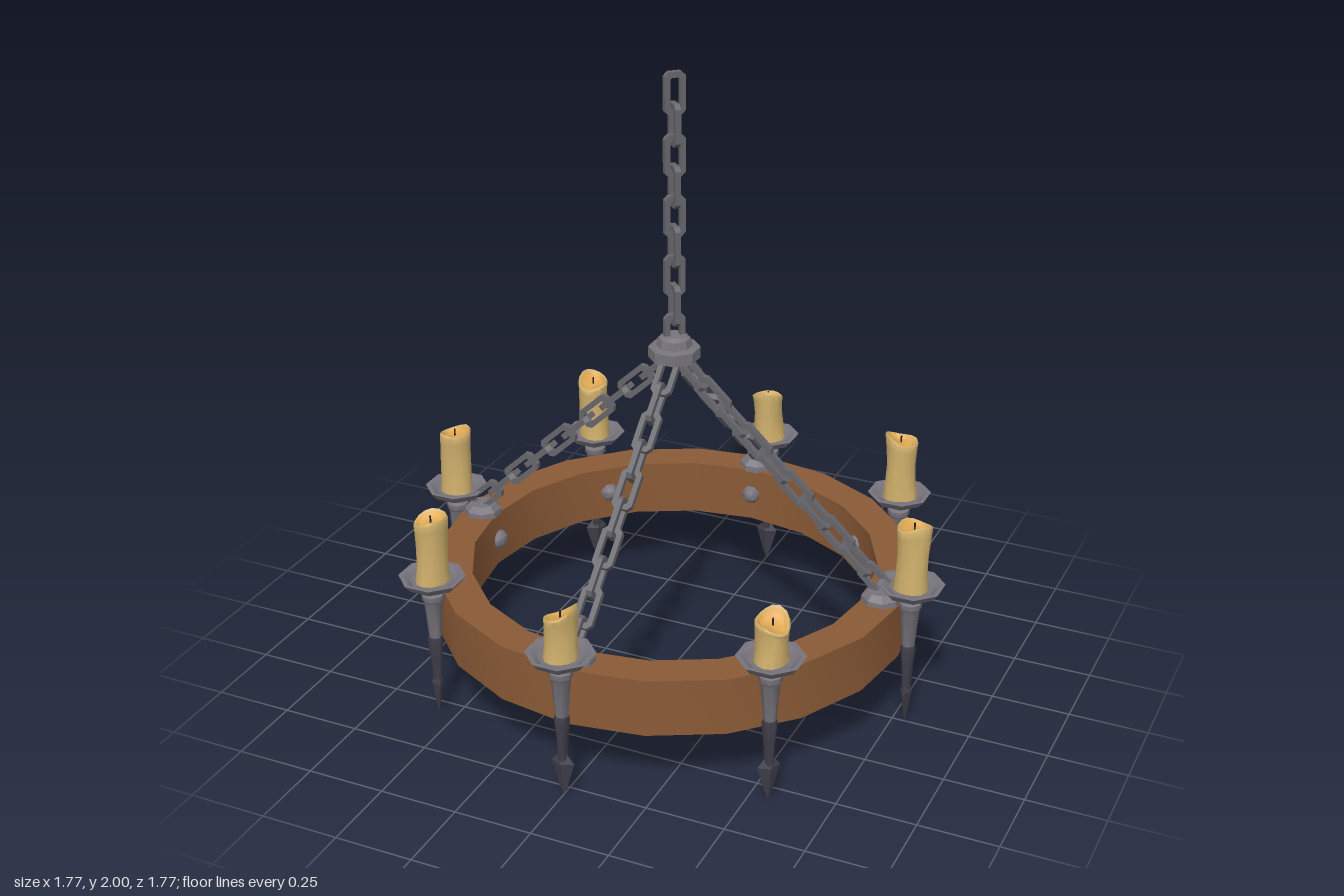
import * as THREE from 'three';
import { toCreasedNormals } from 'three/addons/utils/BufferGeometryUtils.js';

const mat = (name, color) => {
  const m = new THREE.MeshStandardMaterial({ color });
  m.name = name;
  return m;
};

export function createModel() {
  const wood = mat('wood', 0x8a5a36);
  const iron = mat('iron', 0x77737b);
  const chainIron = mat('chain iron', 0x66656b);
  const darkIron = mat('dark iron', 0x3f3e4a);
  const wax = mat('wax', 0xd0b06c);
  const moltenWax = mat('molten wax', 0xe0a852);
  const wickBlack = mat('wick', 0x2b2420);

  const model = new THREE.Group();
  model.name = 'chandelier';

  const add = (parent, name, geometry, material) => {
    const m = new THREE.Mesh(geometry, material);
    m.name = name;
    parent.add(m);
    return m;
  };
  const group = (parent, name) => {
    const g = new THREE.Group();
    g.name = name;
    parent.add(g);
    return g;
  };
  // turned part from [radius, y] pairs listed bottom to top
  const turned = (points, sides, crease = 0.5) => {
    const g = new THREE.LatheGeometry(points.map(([r, y]) => new THREE.Vector2(r, y)), sides);
    return toCreasedNormals(g.rotateY(Math.PI / sides), crease);
  };

  // wooden hoop
  const hoop = new THREE.LatheGeometry(
    [[0.645, 0.23], [0.76, 0.23], [0.76, 0.415], [0.645, 0.415], [0.645, 0.23]].map(([r, y]) => new THREE.Vector2(r, y)), 20);
  add(model, 'hoop', toCreasedNormals(hoop, 0.6), wood);

  // chain link: chamfered rectangle with a chamfered hole
  const chamfered = (Type, w, h, c) => {
    const s = new Type();
    s.setFromPoints([[w, c - h], [w, h - c], [w - c, h], [c - w, h], [-w, h - c], [-w, c - h], [c - w, -h], [w - c, -h]]
      .map(([x, y]) => new THREE.Vector2(x, y)));
    return s;
  };
  const linkShape = chamfered(THREE.Shape, 0.033, 0.065, 0.013);
  linkShape.holes.push(chamfered(THREE.Path, 0.016, 0.047, 0.005));
  const linkGeometry = new THREE.ExtrudeGeometry(linkShape, { depth: 0.018, bevelEnabled: false });
  linkGeometry.translate(0, 0, -0.009);

  // chain hanging along -y, every second link turned by a quarter
  const PITCH = 0.0945;
  const chain = (parent, name, count) => {
    const g = group(parent, name);
    for (let i = 0; i < count; i++) {
      const link = add(g, 'link', linkGeometry, chainIron);
      link.position.y = -i * PITCH;
      link.rotation.y = i % 2 ? 0 : Math.PI / 2;
    }
    return g;
  };
  const mainChain = chain(model, 'mainChain', 9);
  mainChain.position.y = 1.935;
  mainChain.rotation.y = -Math.PI / 4;

  // hub joining the chains
  add(model, 'hub', turned([[0, 1.085], [0.045, 1.085], [0.055, 1.1], [0.08, 1.1], [0.08, 1.135],
    [0.056, 1.14], [0.05, 1.165], [0.035, 1.175], [0, 1.175]], 8), iron);

  // four slanted chains with their mounts on the hoop
  const mountGeometry = turned([[0.062, 0.41], [0.06, 0.43], [0.042, 0.448], [0, 0.448]], 8);
  for (let i = 0; i < 4; i++) {
    const arm = group(model, 'chainArm');
    arm.rotation.y = i * Math.PI / 2;
    const c = chain(arm, 'slantedChain', 10);
    c.position.set(0.06, 1.06, 0);
    c.rotation.z = 0.816;
    add(arm, 'chainMount', mountGeometry, iron).position.x = 0.695;
  }

  // holder pieces shared by all eight candles
  const dish = turned([[0, 0.448], [0.05, 0.452], [0.085, 0.468], [0.104, 0.492], [0.09, 0.492],
    [0.07, 0.48], [0, 0.478]], 8);
  const shaft = turned([[0.017, 0.25], [0.03, 0.405], [0.036, 0.412], [0.036, 0.43], [0.024, 0.436], [0.026, 0.455]], 8, 0.9);
  const sheath = turned([[0, 0.1], [0.013, 0.1], [0.018, 0.2], [0.024, 0.265], [0.021, 0.278], [0, 0.278]], 8, 0.9);
  const spearhead = toCreasedNormals(new THREE.LatheGeometry(
    [[0, 0], [0.014, 0.035], [0.037, 0.115], [0.013, 0.145], [0, 0.145]].map(([r, y]) => new THREE.Vector2(r, y)), 4), 0.3);
  spearhead.scale(1, 1, 0.5);
  const bolt = turned([[0.032, 0], [0.03, 0.01], [0.018, 0.024], [0, 0.028]], 8, 0.9);
  bolt.rotateX(-Math.PI / 2);

  // candle with a slanted, uneven rim; slope is the rise of the rim in x and z
  const addCandle = (parent, top, slopeX, slopeZ, seed) => {
    const base = 0.475;
    const h = top - base;
    const shape = (g) => {
      const p = g.attributes.position;
      for (let i = 0; i < p.count; i++) {
        const x = p.getX(i), y = p.getY(i), z = p.getZ(i);
        const a = Math.atan2(z, x);
        const t = (y - base) / h;
        const r = Math.hypot(x, z) / 0.05;
        const k = 1 + 0.05 * Math.sin(3 * a + seed * 1.9 + 2 * t) + 0.04 * Math.sin(2 * a - seed + 6 * t);
        const lift = t * t * t * ((slopeX * x + slopeZ * z) + 0.008 * r * Math.sin(2 * a + seed * 2.3));
        p.setXYZ(i, x * k + 0.004 * t * Math.sin(seed), y + lift, z * k + 0.004 * t * Math.cos(seed));
      }
      return toCreasedNormals(g, 0.8);
    };
    const lathe = (pts) => new THREE.LatheGeometry(pts.map(([r, y]) => new THREE.Vector2(r, y)), 14);
    add(parent, 'candle', shape(lathe([[0.054, base], [0.05, base + h * 0.25], [0.048, base + h * 0.55],
      [0.05, base + h * 0.85], [0.052, top - 0.006], [0.048, top], [0.043, top - 0.004]])), wax);
    add(parent, 'waxPool', shape(lathe([[0.043, top - 0.004], [0.034, top - 0.014], [0, top - 0.016]])), moltenWax);
    const wick = add(parent, 'wick', new THREE.CylinderGeometry(0.003, 0.003, 0.026, 5), wickBlack);
    wick.position.set(0.004 * Math.sin(seed), top - 0.006, 0.004 * Math.cos(seed));
  };

  // candles counter-clockwise from the front: [top, slopeX, slopeZ]
  const candles = [
    [0.625, 0.55, 0.1], [0.61, -0.3, -0.3], [0.693, 0.05, 0.1], [0.688, -0.25, 0.1],
    [0.645, 0.1, 0.35], [0.69, -0.15, -0.3], [0.692, 0.12, 0], [0.692, 0.15, -0.1],
  ];
  candles.forEach(([top, sx, sz], i) => {
    const a = i * Math.PI / 4;
    const holder = group(model, 'candleHolder');
    holder.position.set(0.79 * Math.sin(a), 0, 0.79 * Math.cos(a));
    addCandle(holder, top, sx, sz, i + 1);
    const metal = group(holder, 'holderMetal');
    metal.rotation.y = a;
    add(metal, 'dish', dish, iron);
    add(metal, 'shaft', shaft, iron);
    add(metal, 'sheath', sheath, darkIron);
    add(metal, 'spearhead', spearhead, darkIron);
    // bolt head on the inside of the hoop
    add(metal, 'bolt', bolt, iron).position.set(0, 0.325, 0.638 - 0.79);
  });

  return model;
}
